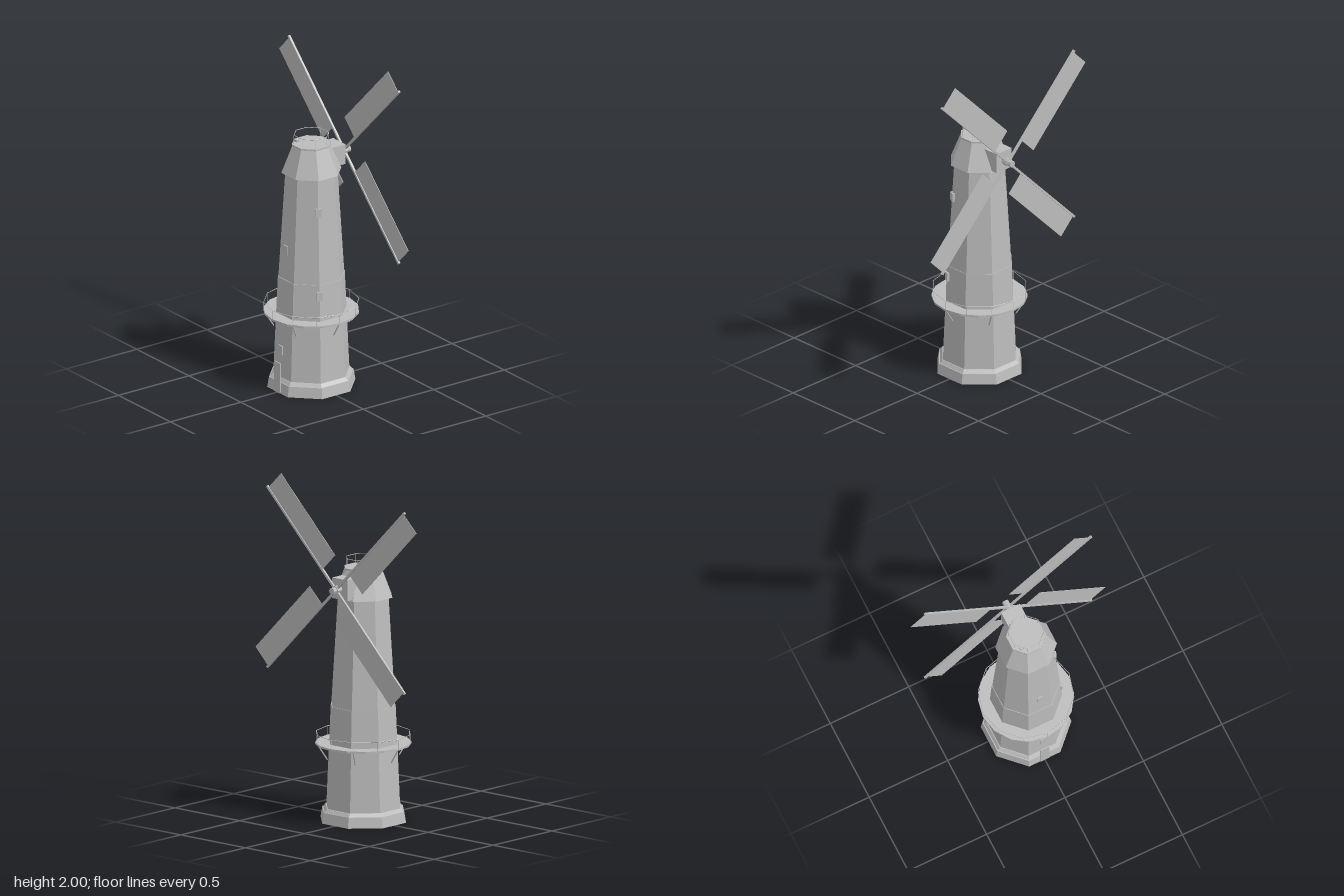
import * as THREE from 'three';

export function createModel() {
  const model = new THREE.Group();
  const stone = new THREE.MeshStandardMaterial({ color: 0xbcbcbc });
  stone.name = 'plain grey';

  const add = (name, geometry, parent = model) => {
    const flat = geometry.index ? geometry.toNonIndexed() : geometry;
    flat.computeVertexNormals();
    const mesh = new THREE.Mesh(flat, stone);
    mesh.name = name;
    parent.add(mesh);
    return mesh;
  };
  const box = (name, w, h, d, x, y, z, parent) => {
    const mesh = add(name, new THREE.BoxGeometry(w, h, d), parent);
    mesh.position.set(x, y, z);
    return mesh;
  };
  // Eight-sided frustum with flat sides toward the axes; radii go to the flats
  const octagon = (name, rBottom, rTop, y0, y1) => {
    const k = 1 / Math.cos(Math.PI / 8);
    const g = new THREE.CylinderGeometry(rTop * k, rBottom * k, y1 - y0, 8, 1, false, Math.PI / 8);
    add(name, g).position.y = (y0 + y1) / 2;
  };
  // Thin round bar between two points
  const bar = (name, a, b, r, parent) => {
    const dir = b.clone().sub(a);
    const mesh = add(name, new THREE.CylinderGeometry(r, r, dir.length(), 5), parent);
    mesh.position.copy(a).add(b).multiplyScalar(0.5);
    mesh.quaternion.setFromUnitVectors(new THREE.Vector3(0, 1, 0), dir.normalize());
  };
  const polar = (r, y, a) => new THREE.Vector3(r * Math.cos(a), y, r * Math.sin(a));
  // Polygonal railing: top ring and upright posts
  const railing = (name, sides, r, y0, y1, turn) => {
    const group = new THREE.Group();
    group.name = name;
    const ring = add('handrail', new THREE.TorusGeometry(r, 0.002, 4, sides).rotateX(Math.PI / 2), group);
    ring.position.y = y1;
    ring.rotation.y = -turn;
    for (let i = 0; i < sides; i++) {
      const a = turn + (i * 2 * Math.PI) / sides;
      bar('railPost', polar(r, y0, a), polar(r, y1, a), 0.0015, group);
    }
    model.add(group);
  };

  // Tower
  octagon('plinth', 0.24, 0.23, 0, 0.062);
  octagon('plinthMoulding', 0.225, 0.211, 0.062, 0.082);
  octagon('lowerTower', 0.207, 0.182, 0.08, 0.675);
  octagon('upperTower', 0.179, 0.142, 0.675, 1.312);
  octagon('cap', 0.163, 0.104, 1.31, 1.47);
  octagon('capRoof', 0.106, 0.106, 1.47, 1.48);
  railing('capRailing', 8, 0.102, 1.48, 1.534, Math.PI / 8);
  box('roofHatch', 0.022, 0.014, 0.022, -0.06, 1.487, 0.058);

  // Balcony
  add('balconyDeck', new THREE.CylinderGeometry(0.275, 0.275, 0.012, 16)).position.y = 0.45;
  railing('balconyRailing', 12, 0.274, 0.455, 0.508, 0);
  for (let i = 0; i < 6; i++) {
    const a = (i * Math.PI) / 3;
    bar('balconyBrace', polar(0.268, 0.446, a), polar(0.216, 0.365, a), 0.004);
  }

  // Door and windows
  box('door', 0.058, 0.185, 0.006, 0, 0.0925, 0.24);
  box('frontWindow', 0.037, 0.055, 0.006, 0, 0.255, 0.219);
  box('frontWindow', 0.037, 0.055, 0.006, 0, 0.86, 0.181);
  for (const [y, r] of [[0.61, 0.198], [1.11, 0.165]]) {
    const a = Math.PI / 8;
    const p = polar(r, y, a);
    box('sideWindow', 0.016, 0.052, 0.036, p.x, p.y, p.z).rotation.y = -a;
  }

  // Shaft housing and hub at the back
  box('shaftHousing', 0.12, 0.12, 0.12, 0, 1.38, -0.14);
  const shaft = add('shaft', new THREE.CylinderGeometry(0.02, 0.02, 0.075, 8).rotateX(Math.PI / 2));
  shaft.position.set(0, 1.38, -0.232);
  const hub = add('hub', new THREE.CylinderGeometry(0.026, 0.026, 0.024, 8).rotateX(Math.PI / 2));
  hub.position.set(0, 1.38, -0.232);

  // Four sails, each a spar with a thin panel on one side
  const sails = new THREE.Group();
  sails.name = 'sails';
  sails.position.set(0, 1.38, -0.232);
  for (let i = 0; i < 4; i++) {
    const sail = new THREE.Group();
    sail.name = 'sail';
    sail.rotation.z = Math.PI / 4 + (i * Math.PI) / 2;
    box('spar', 0.75, 0.013, 0.013, 0.375, 0, 0, sail);
    box('sailPanel', 0.59, 0.139, 0.003, 0.443, 0.0695, 0, sail);
    sails.add(sail);
  }
  model.add(sails);

  return model;
}
